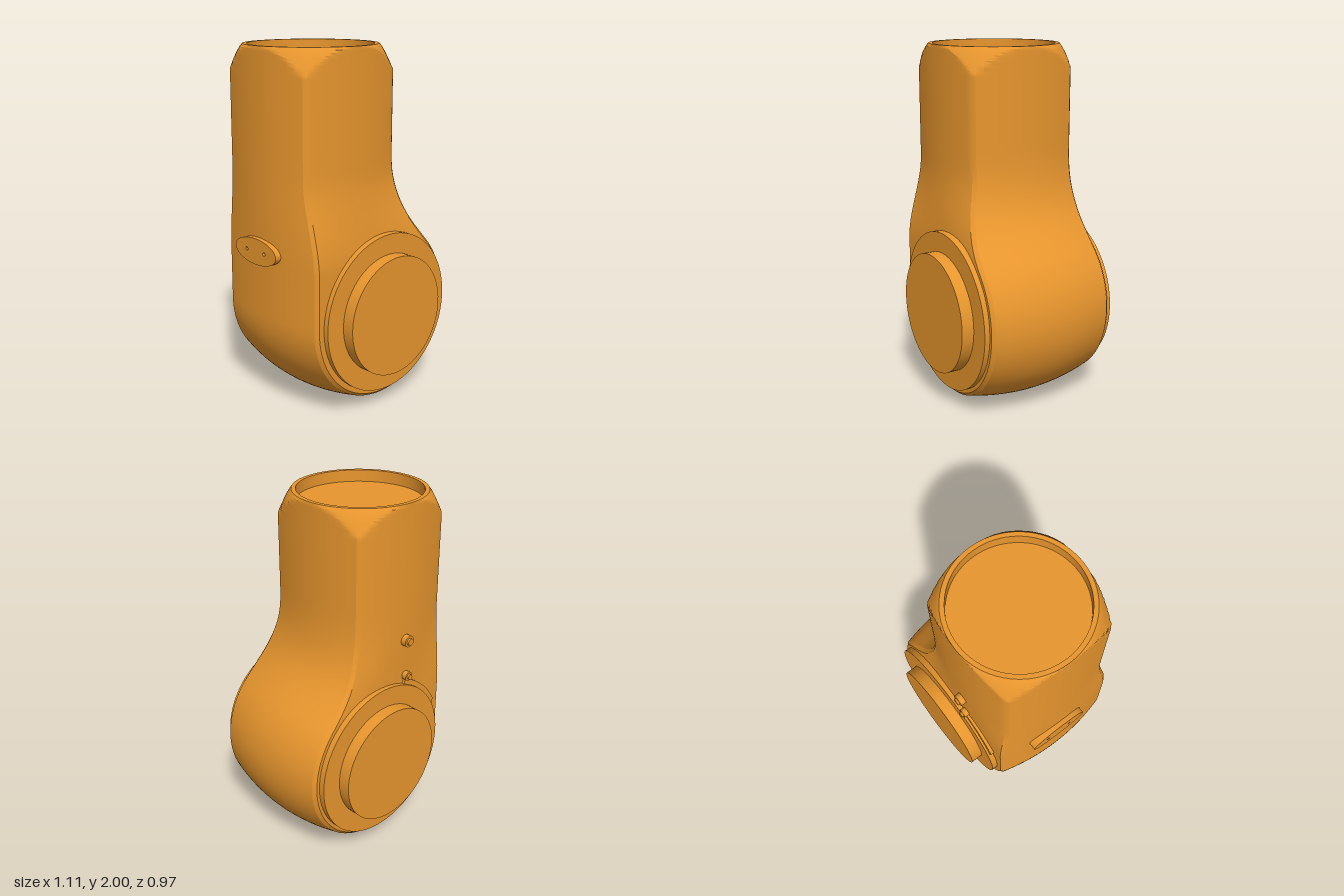
import * as THREE from 'three';
import { toCreasedNormals } from 'three/addons/utils/BufferGeometryUtils.js';

const { lerp, smoothstep } = THREE.MathUtils;
const JOINT = { x: 0.01, y: 0.545, r: 0.545 }; // round lower end
const NECK = { x: -0.1575, z: -0.03, r: 0.365 }; // round upper end

// Paired left and right outline points with outward normals, from the bottom up
function outline() {
  const rows = [];
  const add = (xl, yl, nl, xr, yr, nr) => rows.push({ l: [xl, yl, ...nl], r: [xr, yr, ...nr] });
  const leftX = (y) => lerp(-0.535, -0.525, (y - JOINT.y) / 1.455);
  for (let i = 0; i <= 39; i++) {
    const a = THREE.MathUtils.degToRad(-90 + i * 130 / 39);
    const c = Math.cos(a), s = Math.sin(a);
    const x = JOINT.x + JOINT.r * c, y = JOINT.y + JOINT.r * s;
    if (a <= 0) add(2 * JOINT.x - x, y, [-c, s], x, y, [c, s]);
    else add(leftX(y), y, [-1, 0], x, y, [c, s]);
  }
  const v = (x, y) => new THREE.Vector2(x, y);
  const shoulder = new THREE.CubicBezierCurve(v(0.4275, 0.895), v(0.3, 1.046), v(0.21, 1.12), v(0.21, 1.45));
  for (let i = 1; i <= 20; i++) {
    const p = shoulder.getPoint(i / 20), t = shoulder.getTangent(i / 20);
    add(leftX(p.y), p.y, [-1, 0], p.x, p.y, [t.y, -t.x]);
  }
  for (let i = 1; i <= 24; i++) {
    const y = i <= 6 ? 1.45 + i * 0.05 : 1.75 + (i - 6) * 0.25 / 18;
    add(leftX(y), y, [-1, 0], 0.21, y, [1, 0]);
  }
  return rows;
}

// Closed loop of points for one row: right side, front, left side, back
function section({ l, r }) {
  const SIDE = 14, FACE = 20, pts = [];
  const inset = (p, d) => [p[0] - p[2] * d, p[1] - p[3] * d];
  const depth = (y) => {
    const s = smoothstep(y, 0.85, 1.35);
    return {
      front: lerp(0.38, 0.29, s), frontBulge: lerp(0, 0.045, s),
      back: lerp(-0.38, -0.345, s), backBulge: lerp(-0.008, -0.05, s),
    };
  };
  const side = (p, dir) => {
    for (let i = 0; i <= SIDE; i++) {
      const t = dir * (i / SIDE * 2 - 1);
      const [x, y] = inset(p, 0.05 * t * t);
      const d = depth(y);
      pts.push([x, y, lerp(d.back, d.front, 0.5 + t * 0.475)]);
    }
  };
  const face = (from, to, key) => {
    const a = inset(from, 0.068), b = inset(to, 0.068);
    for (let i = 0; i <= FACE; i++) {
      const f = i / FACE, y = lerp(a[1], b[1], f), d = depth(y);
      pts.push([lerp(a[0], b[0], f), y, d[key] + d[key + 'Bulge'] * 4 * f * (1 - f)]);
    }
  };
  side(r, 1);
  face(r, l, 'front');
  side(l, -1);
  face(l, r, 'back');

  // Turned chamfer that blends the square neck into a circle
  for (const p of pts) {
    if (p[1] < 1.78) continue;
    const dx = p[0] - NECK.x, dz = p[2] - NECK.z;
    const limit = NECK.r + 0.1 * Math.pow(Math.max(0, (2 - p[1]) / 0.2), 0.8);
    const k = p[1] > 1.9999 ? limit / Math.hypot(dx, dz) : Math.min(1, limit / Math.hypot(dx, dz));
    p[0] = NECK.x + dx * k;
    p[2] = NECK.z + dz * k;
  }
  return pts;
}

function housingGeometry() {
  const rings = outline().map(section), n = rings[0].length, index = [];
  for (let k = 0; k < rings.length - 1; k++) {
    for (let j = 0; j < n; j++) {
      const a = k * n + j, b = k * n + (j + 1) % n;
      index.push(a, a + n, b + n, a, b + n, b);
    }
  }
  const g = new THREE.BufferGeometry();
  g.setAttribute('position', new THREE.Float32BufferAttribute(rings.flat(2), 3));
  g.setIndex(index);
  return toCreasedNormals(g, 0.45);
}

export function createModel() {
  const group = new THREE.Group();
  const material = new THREE.MeshStandardMaterial({ color: 0xe8962e });
  const add = (name, geometry, x = 0, y = 0, z = 0) => {
    const m = new THREE.Mesh(geometry, material);
    m.name = name;
    m.position.set(x, y, z);
    group.add(m);
    return m;
  };
  // Disc along z, between two depths
  const disc = (name, r, x, y, z0, z1, sides = 72) => add(name,
    new THREE.CylinderGeometry(r, r, Math.abs(z1 - z0), sides).rotateX(Math.PI / 2), x, y, (z0 + z1) / 2);

  add('housing', housingGeometry());

  // Recessed flange on the neck
  const rim = [[0, 1.935], [0.342, 1.935], [0.342, 2], [0.366, 2]].map(([x, y]) => new THREE.Vector2(x, y));
  const flange = new THREE.LatheGeometry(rim.reverse(), 80);
  const flangeMesh = add('neckFlange', toCreasedNormals(flange, 0.5), NECK.x, 0, NECK.z);
  flangeMesh.material = material.clone();
  flangeMesh.material.side = THREE.DoubleSide;

  // Stepped joint covers, front and back
  disc('frontCover', 0.452, 0.017, JOINT.y, 0.3, 0.41);
  disc('frontHub', 0.339, 0.015, JOINT.y, 0.4, 0.48);
  disc('backCover', 0.452, 0.017, JOINT.y, -0.3, -0.415);
  disc('backHub', 0.339, 0.015, JOINT.y, -0.4, -0.485);

  // Crescent lip beside the back cover
  const lip = new THREE.Shape();
  lip.absarc(0, 0, 0.482, 1.95, 2.65, false);
  lip.absarc(0, 0, 0.44, 2.75, 1.95, true);
  add('coverLip', new THREE.ExtrudeGeometry(lip, { depth: 0.04, bevelEnabled: false, curveSegments: 20 }),
    0.017, JOINT.y, -0.402);

  // Two small bolts on the back, each with a narrower tip
  for (const [x, y, r, z] of [[-0.155, 1.235, 0.033, -0.425], [-0.17, 1.012, 0.026, -0.418]]) {
    disc('bolt', r, x, y, -0.36, z, 20);
    disc('boltTip', r * 0.6, x, y, z + 0.01, z - 0.012, 16);
  }

  // Oval side plate with two screw holes
  const oval = new THREE.Shape().absellipse(0, 0, 0.176, 0.073, 0, Math.PI * 2);
  for (const s of [-1, 1]) oval.holes.push(new THREE.Path().absarc(s * 0.075, 0, 0.01, 0, Math.PI * 2, true));
  const plate = new THREE.ExtrudeGeometry(oval, { depth: 0.06, bevelEnabled: false, curveSegments: 40 });
  add('sidePlate', toCreasedNormals(plate.rotateY(-Math.PI / 2), 0.5), -0.499, 0.918, -0.034);

  return group;
}
